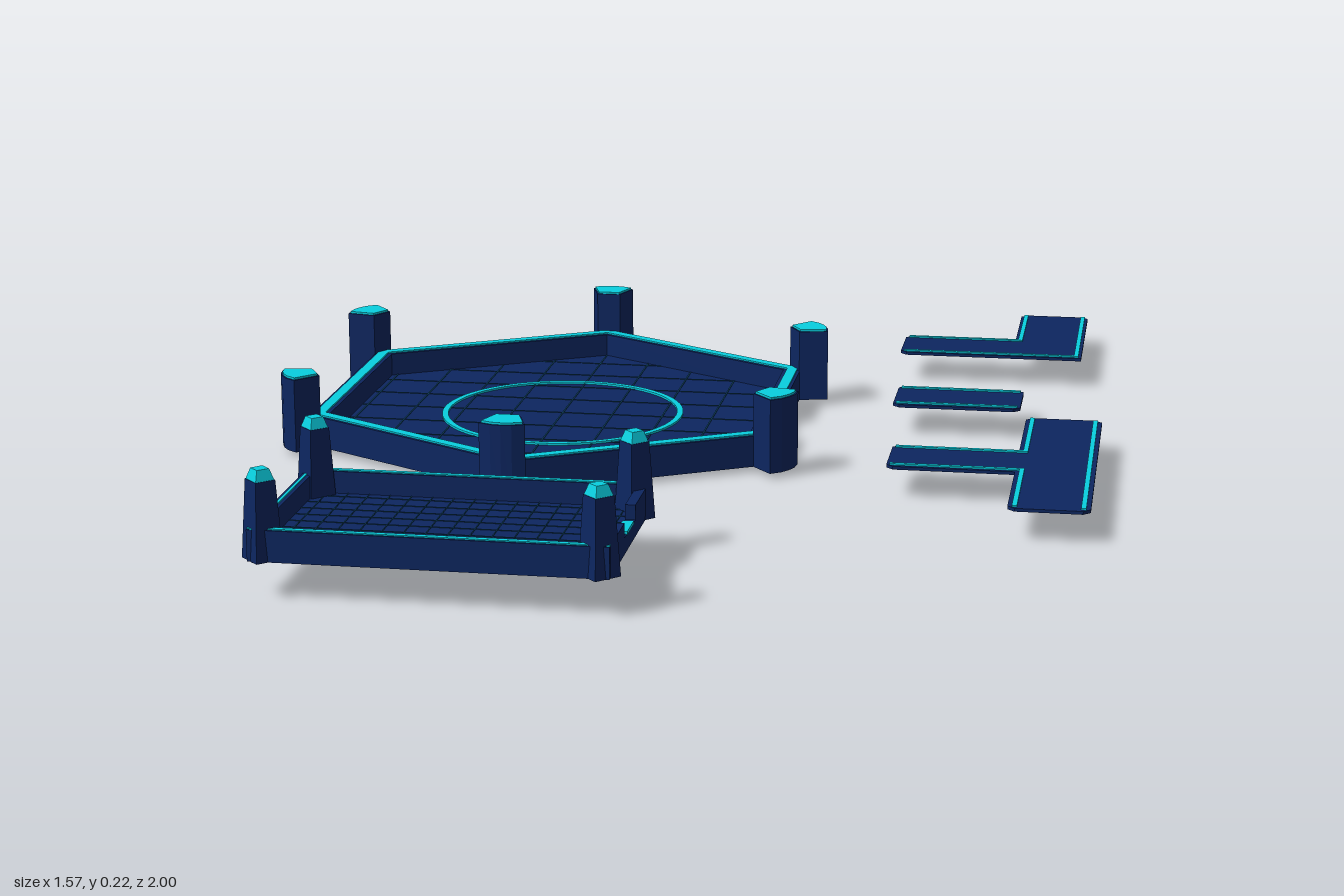
import * as THREE from 'three';

const mat = (color) => new THREE.MeshStandardMaterial({ color, flatShading: true });
const navy = mat(0x0d2660);
const cyan = mat(0x08cfe0);
const teal = mat(0x0b3c5a);

function add(parent, name, geometry, material) {
  const mesh = new THREE.Mesh(geometry, material);
  mesh.name = name;
  parent.add(mesh);
  return mesh;
}

// Flat prism from an outline of [x, z] points between two heights
function slab(parent, name, points, y0, y1, material, hole) {
  const shape = new THREE.Shape(points.map(([x, z]) => new THREE.Vector2(x, z)));
  if (hole) shape.holes.push(new THREE.Path(hole.map(([x, z]) => new THREE.Vector2(x, z))));
  const g = new THREE.ExtrudeGeometry(shape, { depth: y1 - y0, bevelEnabled: false });
  g.rotateX(Math.PI / 2).translate(0, y1, 0);
  return add(parent, name, g, material);
}

// Box given by its limits on each axis
function block(parent, name, x0, x1, y0, y1, z0, z1, material) {
  const g = new THREE.BoxGeometry(x1 - x0, y1 - y0, z1 - z0);
  g.translate((x0 + x1) / 2, (y0 + y1) / 2, (z0 + z1) / 2);
  return add(parent, name, g, material);
}

const circle = (r, n) => Array.from({ length: n }, (_, i) => {
  const a = (i / n) * Math.PI * 2;
  return [r * Math.cos(a), r * Math.sin(a)];
});

function hexRoom() {
  const room = new THREE.Group();
  room.name = 'hexagonRoom';
  room.position.set(-0.28, 0, -0.165);
  const corner = (k, r) => {
    const a = Math.PI / 6 + (k * Math.PI) / 3;
    return [r * Math.cos(a), r * Math.sin(a)];
  };
  const hex = (r) => [0, 1, 2, 3, 4, 5].map((k) => corner(k, r));
  // Part of one side between two radii, from t0 to t1 along the edge
  const side = (k, r0, r1, t0, t1) => [[r0, t0], [r1, t0], [r1, t1], [r0, t1]].map(([r, t]) => {
    const a = corner(k, r), b = corner(k + 1, r);
    return [a[0] + (b[0] - a[0]) * t, a[1] + (b[1] - a[1]) * t];
  });

  slab(room, 'floor', hex(0.5), 0.01, 0.025, navy);
  slab(room, 'floorRing', circle(0.24, 64), 0, 0.029, cyan, circle(0.228, 64));

  // Walls, with a doorway in the +x side
  for (let k = 0; k < 6; k++) {
    const spans = k === 5 ? [[0, 0.354], [0.646, 1]] : [[0, 1]];
    for (const [t0, t1] of spans) {
      slab(room, 'wall', side(k, 0.475, 0.515, t0, t1), 0.01, 0.07, navy);
      slab(room, 'wallGlow', side(k, 0.484, 0.508, t0, t1), 0.069, 0.073, cyan);
    }
  }
  slab(room, 'doorSill', side(5, 0.475, 0.515, 0.354, 0.646), 0.01, 0.022, navy);
  slab(room, 'doorGlow', side(5, 0.478, 0.516, 0.385, 0.615), 0.02, 0.029, cyan);

  // Flared corner pillars
  const wedge = [[0.5, -0.024], [0.555, -0.043], [0.565, -0.02], [0.567, 0], [0.565, 0.02], [0.555, 0.043], [0.5, 0.024]];
  for (let k = 0; k < 6; k++) {
    const pillar = new THREE.Group();
    pillar.name = 'cornerPillar';
    pillar.rotation.y = Math.PI / 6 + (k * Math.PI) / 3;
    slab(pillar, 'pillarPost', wedge, 0.01, 0.153, navy);
    slab(pillar, 'pillarCap', wedge.map(([x, z]) => [0.535 + (x - 0.535) * 0.9, z * 0.9]), 0.152, 0.157, cyan);
    room.add(pillar);
  }

  // Faint floor grid, clipped to the hexagon
  for (let i = -4; i <= 4; i++) {
    const p = i * 0.1;
    const halfZ = 0.475 - Math.abs(p) * 0.577;
    const halfX = Math.min(0.41, (0.475 - Math.abs(p)) * 1.732);
    block(room, 'gridLine', p - 0.0015, p + 0.0015, 0.024, 0.026, -halfZ, halfZ, teal);
    block(room, 'gridLine', -halfX, halfX, 0.024, 0.026, p - 0.0015, p + 0.0015, teal);
  }
  return room;
}

function boxRoom() {
  const room = new THREE.Group();
  room.name = 'rectangularRoom';
  const [x0, x1, z0, z1] = [-0.58, 0.03, 0.61, 0.985];
  const t = 0.018, y0 = 0.065, y1 = 0.12;
  block(room, 'floor', x0, x1, y0, 0.08, z0, z1, navy);

  // Long walls with glowing tops
  for (const z of [z0, z1 - t]) {
    block(room, 'longWall', x0, x1, y0, y1, z, z + t, navy);
    block(room, 'wallGlow', x0, x1, y1 - 0.001, y1 + 0.002, z + 0.004, z + 0.014, cyan);
  }
  // End walls, the +x one with a doorway
  block(room, 'endWall', x0, x0 + t, y0, y1, z0, z1, navy);
  block(room, 'wallGlow', x0 + 0.006, x0 + 0.011, y1 - 0.001, y1 + 0.002, z0, z1, cyan);
  block(room, 'endWall', x1 - t, x1, y0, y1, z0, 0.745, navy);
  block(room, 'endWall', x1 - t, x1, y0, y1, 0.85, z1, navy);
  block(room, 'doorSill', x1 - t, x1, y0, 0.094, 0.745, 0.85, navy);
  block(room, 'doorGlow', x1 - t, x1 + 0.001, 0.093, 0.099, 0.767, 0.828, cyan);

  // Low keel under the far end wall
  const keel = slab(room, 'keel', [[-0.58, 0.76], [-0.54, 0.78], [-0.54, 0.94], [-0.58, 0.96]], 0.054, 0.07, navy);
  keel.castShadow = false;

  // Tapered diamond pillars at the corners
  for (const x of [-0.559, 0.009]) {
    for (const z of [0.636, 0.964]) {
      const post = add(room, 'cornerPillar', new THREE.CylinderGeometry(0.026, 0.036, 0.137, 4), navy);
      post.position.set(x, y0 + 0.0685, z);
      const cap = add(room, 'pillarCap', new THREE.CylinderGeometry(0.016, 0.025, 0.02, 4), cyan);
      cap.position.set(x, 0.211, z);
    }
  }

  // Faint floor grid
  for (let i = 1; i < 16; i++) {
    const x = x0 + (i * (x1 - x0)) / 16;
    block(room, 'gridLine', x - 0.001, x + 0.001, 0.079, 0.081, z0 + t, z1 - t, teal);
  }
  for (let i = 1; i < 10; i++) {
    const z = z0 + (i * (z1 - z0)) / 10;
    block(room, 'gridLine', x0 + t, x1 - t, 0.079, 0.081, z - 0.001, z + 0.001, teal);
  }
  return room;
}

// Thin corridor plate with glowing edge lines, each [x0, x1, z0, z1]
function corridor(name, outline, lines) {
  const group = new THREE.Group();
  group.name = name;
  slab(group, 'plate', outline, 0.055, 0.061, navy);
  for (const [x0, x1, z0, z1] of lines) block(group, 'edgeGlow', x0, x1, 0.06, 0.064, z0, z1, cyan);
  return group;
}

export function createModel() {
  const model = new THREE.Group();
  model.name = 'modularRooms';
  const c = 0.013, w = 0.009;
  model.add(hexRoom(), boxRoom());

  model.add(corridor('cornerCorridor', [
    [0.35, -0.77 + c], [0.35 + c, -0.772], [0.583, -0.772], [0.583, -1 + c], [0.583 + c, -1],
    [0.727 - c, -1], [0.727, -1 + c], [0.727, -0.628 + 0], [0.35 + c, -0.628], [0.35, -0.628 - c],
  ], [
    [0.357, 0.598, -0.766, -0.766 + w], [0.589, 0.589 + w, -0.992, -0.758],
    [0.357, 0.721, -0.643, -0.643 + w], [0.712, 0.712 + w, -0.992, -0.634],
  ]));

  model.add(corridor('straightCorridor', [
    [0.375, -0.345 + c], [0.375 + c, -0.345], [0.625 - c, -0.345], [0.625, -0.345 + c],
    [0.625, -0.2 - c], [0.625 - c, -0.2], [0.375 + c, -0.2], [0.375, -0.2 - c],
  ], [
    [0.381, 0.619, -0.336, -0.336 + w], [0.381, 0.619, -0.218, -0.218 + w],
  ]));

  model.add(corridor('junctionCorridor', [
    [0.405, 0.093 + c], [0.405 + c, 0.093], [0.641, 0.093], [0.641, -0.14 + c], [0.641 + c, -0.14],
    [0.787 - c, -0.14], [0.787, -0.14 + c], [0.787, 0.467 - c], [0.787 - c, 0.467],
    [0.641 + c, 0.467], [0.641, 0.467 - c], [0.641, 0.238], [0.405 + c, 0.238], [0.405, 0.238 - c],
  ], [
    [0.411, 0.656, 0.101, 0.101 + w], [0.411, 0.656, 0.221, 0.221 + w],
    [0.649, 0.649 + w, -0.132, 0.11], [0.649, 0.649 + w, 0.221, 0.459],
    [0.77, 0.77 + w, -0.132, 0.459],
  ]));
  return model;
}
